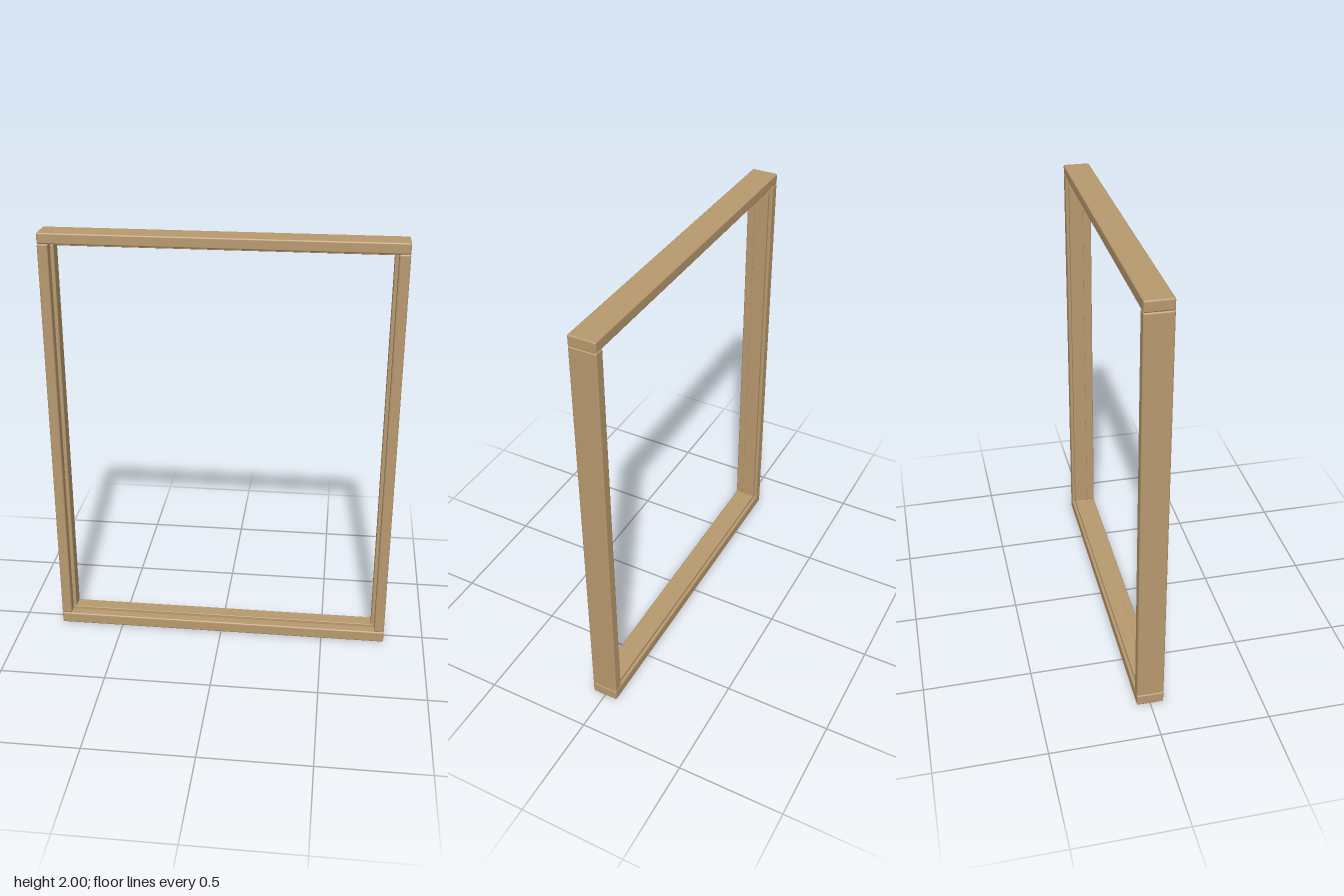
import * as THREE from 'three';
import { RoundedBoxGeometry } from 'three/addons/geometries/RoundedBoxGeometry.js';

const wood = new THREE.MeshStandardMaterial({ color: 0xb8996e });
wood.name = 'wood';

// Softened wooden bar spanning the given x, y and z ranges
function bar(name, [x0, x1], [y0, y1], [z0, z1], radius) {
  const geometry = new RoundedBoxGeometry(x1 - x0, y1 - y0, z1 - z0, 2, radius);
  const mesh = new THREE.Mesh(geometry, wood);
  mesh.position.set((x0 + x1) / 2, (y0 + y1) / 2, (z0 + z1) / 2);
  mesh.name = name;
  return mesh;
}

export function createModel() {
  const group = new THREE.Group();
  group.name = 'openFrame';

  const outer = 0.807, inner = 0.759;
  const sill = 0.055, head = 1.95;
  const depth = [-0.062, 0.062];
  const stopDepth = [-0.048, 0.018];

  // Full-width rails at top and bottom
  group.add(bar('bottomRail', [-outer, outer], [0, sill], depth, 0.007));
  group.add(bar('topRail', [-outer, outer], [head, 2], depth, 0.007));

  // Thin stop strips along the rails
  group.add(bar('bottomStop', [-inner, inner], [sill - 0.006, 0.07], stopDepth, 0.003));
  group.add(bar('topStop', [-inner, inner], [1.935, head + 0.006], stopDepth, 0.003));

  // Side posts with their stop strips
  for (const [label, s] of [['left', 1], ['right', -1]]) {
    const span = (a, b) => (s > 0 ? [a, b] : [-b, -a]);
    group.add(bar(label + 'Post', span(inner, outer), [sill, head], depth, 0.007));
    group.add(bar(label + 'Stop', span(0.743, inner + 0.006), [0.07, 1.935], stopDepth, 0.003));
  }
  return group;
}
